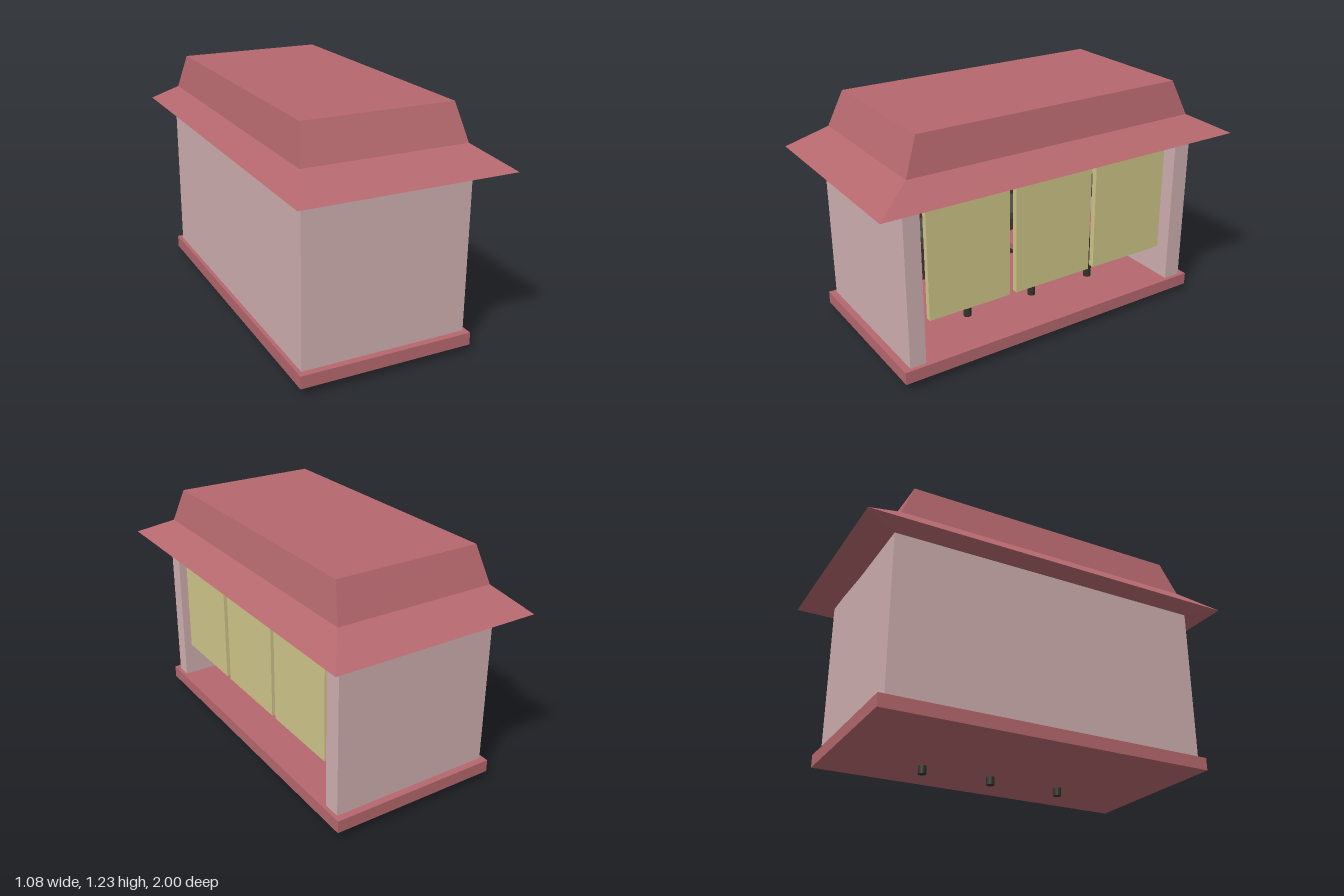
import * as THREE from 'three';

export function createModel() {
  const stall = new THREE.Group();
  stall.name = 'foodStall';

  const material = (name, color) => {
    const m = new THREE.MeshStandardMaterial({ color });
    m.name = name;
    return m;
  };
  const red = material('roofRed', 0xb5686e);
  const pink = material('wallPink', 0xcfafb0);
  const yellow = material('curtainYellow', 0xcfc588);
  const brown = material('interiorBrown', 0x4c3637);
  const grey = material('counterGrey', 0x4d4b44);
  const black = material('poleBlack', 0x33332c);

  const add = (name, geometry, mat, parent = stall) => {
    const mesh = new THREE.Mesh(geometry, mat);
    mesh.name = name;
    parent.add(mesh);
    return mesh;
  };
  // Box given by its limits on each axis
  const box = (name, mat, [x0, x1], [y0, y1], [z0, z1]) => {
    const mesh = add(name, new THREE.BoxGeometry(x1 - x0, y1 - y0, z1 - z0), mat);
    mesh.position.set((x0 + x1) / 2, (y0 + y1) / 2, (z0 + z1) / 2);
    return mesh;
  };

  // Floor slab and the three closed walls
  box('floor', red, [-0.47, 0.43], [0.042, 0.107], [-0.872, 0.872]);
  box('backWall', pink, [-0.45, -0.315], [0.107, 0.925], [-0.835, 0.837]);
  box('frontEndWall', pink, [-0.315, 0.41], [0.107, 0.93], [0.753, 0.837]);
  box('rearEndWall', pink, [-0.315, 0.41], [0.107, 0.93], [-0.835, -0.741]);
  box('interiorPanel', brown, [-0.315, -0.308], [0.107, 0.93], [-0.741, 0.753]);

  // Counter across the inside
  box('counter', grey, [-0.12, 0.08], [0.545, 0.582], [-0.741, 0.753]);

  // Three hanging curtains on the open side
  for (const z of [0.49, 0.008, -0.466]) {
    box('curtain', yellow, [0.355, 0.385], [0.31, 0.937], [z - 0.222, z + 0.222]);
  }

  // Stools on poles that run through the floor
  for (const z of [0.372, -0.025, -0.4]) {
    const stool = new THREE.Group();
    stool.name = 'stool';
    stool.position.set(0.145, 0, z);
    add('stoolPole', new THREE.CylinderGeometry(0.021, 0.021, 0.42, 12), black, stool).position.y = 0.21;
    add('stoolSeat', new THREE.CylinderGeometry(0.134, 0.134, 0.03, 24), red, stool).position.y = 0.433;
    stall.add(stool);
  }

  // Two-pitch roof with sloping eaves, built up from rectangular rings
  const rings = [
    { x0: -0.45, x1: 0.0, z: 0.84, y: 0.916 },
    { x0: -0.54, x1: 0.54, z: 1.0, y: 0.945 },
    { x0: -0.44, x1: 0.4, z: 0.805, y: 1.045 },
    { x0: -0.405, x1: 0.363, z: 0.732, y: 1.226 },
  ].map(({ x0, x1, z, y }) => [[x0, y, z], [x1, y, z], [x1, y, -z], [x0, y, -z]]);
  const points = [];
  const quad = (a, b, c, d) => points.push(...a, ...b, ...c, ...a, ...c, ...d);
  for (let r = 0; r < rings.length - 1; r++) {
    for (let i = 0; i < 4; i++) {
      const j = (i + 1) % 4;
      quad(rings[r][i], rings[r][j], rings[r + 1][j], rings[r + 1][i]);
    }
  }
  quad(...rings[3]);
  quad(...[...rings[0]].reverse());
  const roof = new THREE.BufferGeometry();
  roof.setAttribute('position', new THREE.Float32BufferAttribute(points, 3));
  roof.computeVertexNormals();
  add('roof', roof, red);

  return stall;
}
